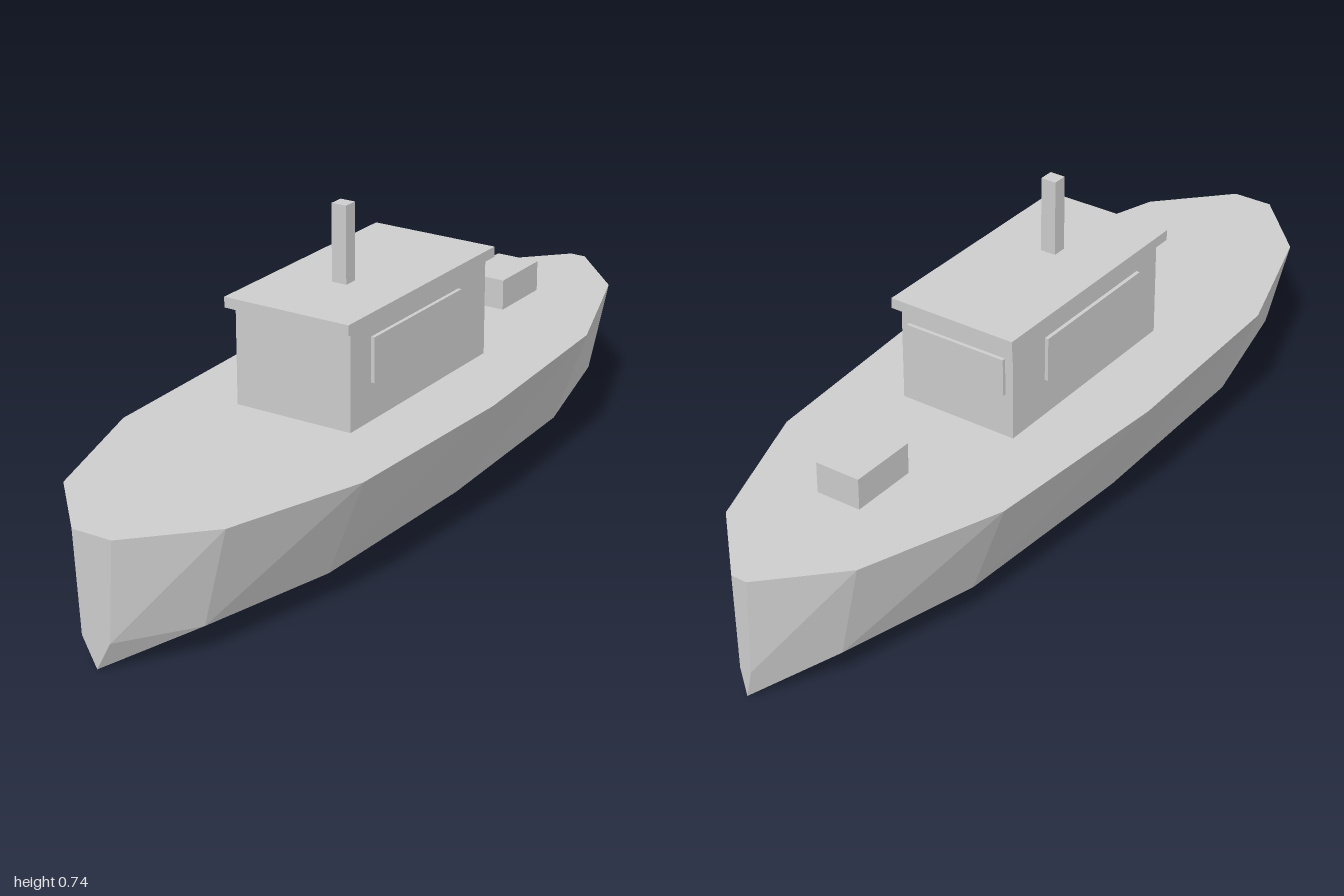
import * as THREE from 'three';

const DECK_Y = 0.3, CHINE_Y = 0.068, CHINE_RATIO = 0.72;

// Hull stations from bow to stern: [z, half width of the deck]
const STATIONS = [
  [1, 0.05], [0.835, 0.207], [0.5, 0.314], [0, 0.331],
  [-0.5, 0.296], [-0.84, 0.175], [-1, 0.02],
];

// Five-point ring per station: deck edge, chine, keel, chine, deck edge
function hullGeometry() {
  const points = [], index = [], n = 5;
  for (const [z, w] of STATIONS) {
    const c = w * CHINE_RATIO;
    points.push(w, DECK_Y, z, c, CHINE_Y, z, 0, 0, z, -c, CHINE_Y, z, -w, DECK_Y, z);
  }
  const last = (STATIONS.length - 1) * n;
  for (let s = 0; s < last; s += n) {
    for (let j = 0; j < n; j++) {
      const a = s + j, b = s + (j + 1) % n;
      index.push(a, b, a + n, b, b + n, a + n);
    }
  }
  // Bow and stern end faces
  for (let k = 1; k < n - 1; k++) {
    index.push(0, k + 1, k, last, last + k, last + k + 1);
  }
  const geometry = new THREE.BufferGeometry();
  geometry.setAttribute('position', new THREE.Float32BufferAttribute(points, 3));
  geometry.setIndex(index);
  const flat = geometry.toNonIndexed();
  flat.computeVertexNormals();
  return flat;
}

export function createModel() {
  const boat = new THREE.Group();
  boat.name = 'boat';
  const grey = new THREE.MeshStandardMaterial({ color: 0xcccccc });
  grey.name = 'plain grey';

  const add = (name, geometry) => {
    const mesh = new THREE.Mesh(geometry, grey);
    mesh.name = name;
    boat.add(mesh);
    return mesh;
  };
  // Box given by its limits on each axis
  const box = (name, [x0, x1], [y0, y1], [z0, z1]) =>
    add(name, new THREE.BoxGeometry(x1 - x0, y1 - y0, z1 - z0))
      .position.set((x0 + x1) / 2, (y0 + y1) / 2, (z0 + z1) / 2);

  add('hull', hullGeometry());

  // Wheelhouse with overhanging roof and square mast
  box('cabin', [-0.15, 0.15], [DECK_Y, 0.535], [-0.265, 0.3]);
  box('roof', [-0.162, 0.162], [0.534, 0.559], [-0.285, 0.325]);
  box('mast', [-0.019, 0.019], [0.559, 0.742], [0.081, 0.117]);

  // Raised window panels on both sides and the back
  box('leftWindow', [0.15, 0.159], [0.39, 0.497], [-0.145, 0.218]);
  box('rightWindow', [-0.159, -0.15], [0.39, 0.497], [-0.145, 0.218]);
  box('backWindow', [-0.13, 0.13], [0.407, 0.497], [-0.274, -0.265]);

  // Hatch box on the aft deck
  box('hatch', [-0.056, 0.056], [0.311, 0.386], [-0.683, -0.515]);

  return boat;
}
